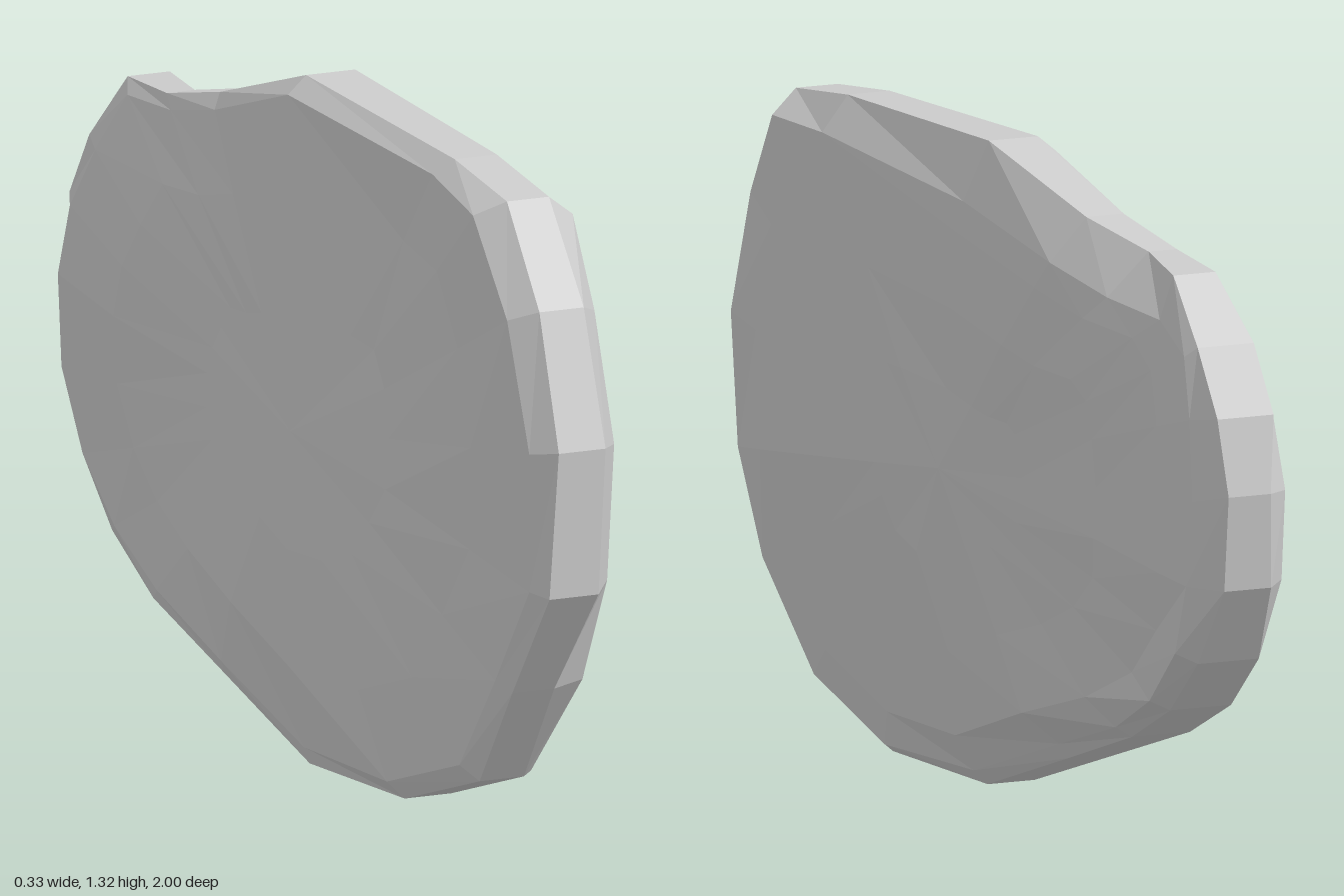
import * as THREE from 'three';

// Rows run from the front over the top to the back and round below:
// rim z, rim y, rim x on the -x side, rim x on the +x side, then z, y, x on the edge of the +x face
const OUTLINE = [
  [1, 0.82, 0, 0.1, 0.9, 0.8, 0.165],
  [0.9, 1.08, 0.005, 0.1, 0.82, 1.05, 0.16],
  [0.74, 1.265, 0.01, 0.1, 0.72, 1.22, 0.16],
  [0.5, 1.295, 0.01, 0.1, 0.5, 1.225, 0.155],
  [-0.14, 1.32, -0.01, 0.095, -0.12, 1.2, 0.14],
  [-0.45, 1.22, -0.05, 0.03, -0.42, 1.13, 0.095],
  [-0.63, 1.18, -0.08, -0.02, -0.6, 1.09, 0.055],
  [-0.82, 1.17, -0.075, 0.015, -0.8, 1.08, 0.035],
  [-0.9, 1.04, -0.12, 0, -0.88, 1.02, 0.02],
  [-0.97, 0.91, -0.13, -0.01, -0.905, 0.9, 0.02],
  [-1, 0.76, -0.11, -0.02, -0.92, 0.74, 0.02],
  [-0.98, 0.57, -0.12, -0.02, -0.9, 0.57, 0.025],
  [-0.88, 0.41, -0.14, -0.01, -0.86, 0.43, 0.03],
  [-0.73, 0.29, -0.15, -0.02, -0.72, 0.31, 0.02],
  [-0.53, 0.2, -0.155, -0.03, -0.52, 0.22, 0],
  [-0.26, 0.11, -0.13, -0.02, -0.26, 0.14, 0],
  [0.07, 0, -0.1, 0, 0.07, 0.03, 0.03],
  [0.42, 0.005, -0.06, 0.04, 0.42, 0.02, 0.058],
  [0.7, 0.1, -0.03, 0.065, 0.7, 0.11, 0.08],
  [0.85, 0.31, -0.03, 0.06, 0.84, 0.32, 0.125],
  [1, 0.53, -0.02, 0.085, 0.9, 0.53, 0.15],
];
const CENTRE_Y = 0.65;
const { clamp, lerp } = THREE.MathUtils;

// Face positions along the length as [z, x]
const PLUS_FACE = [[-1, 0.01], [-0.8, 0.04], [-0.6, 0.06], [-0.4, 0.1], [-0.1, 0.145], [0.3, 0.15], [0.9, 0.165]];
const MINUS_FACE = [[-0.9, -0.165], [-0.3, -0.158], [0, -0.145], [0.3, -0.1], [0.65, -0.058], [0.9, -0.04]];

function sample(table, z) {
  if (z <= table[0][0]) return table[0][1];
  for (let i = 1; i < table.length; i++) {
    const [z0, x0] = table[i - 1], [z1, x1] = table[i];
    if (z <= z1) return lerp(x0, x1, (z - z0) / (z1 - z0));
  }
  return table[table.length - 1][1];
}

// The +x face tucks in below and has a shallow hollow behind the middle
function plusX(z, y) {
  const hollow = Math.max(0, 1 - ((z + 0.3) / 0.35) ** 2) * Math.max(0, 1 - ((y - 0.6) / 0.35) ** 2);
  return sample(PLUS_FACE, z) - 0.09 * Math.max(0, (0.6 - y) / 0.6) - 0.03 * hollow;
}

// The -x face leans in towards the top, curves over at the back and tucks in along the keel
function minusX(z, y) {
  const lean = 0.1 * Math.max(0, y - 0.3) * clamp(1.5 - 2 * z, 0, 1);
  const curve = 0.35 * Math.max(0, y - 0.7) ** 2;
  const below = 0.22 * Math.max(0, 0.2 - y) * clamp(0.8 - 2 * z, 0, 1);
  return sample(MINUS_FACE, z) + lerp(curve, lean, clamp((z + 0.7) / 0.4, 0, 1)) + below;
}

// Each face is a set of shrinking rings; the rim and +x edge come straight from the outline
const faceRing = (column, scale, depth) => OUTLINE.map((row) => {
  const z = row[column] * scale;
  const y = CENTRE_Y + (row[column + 1] - CENTRE_Y) * scale;
  return [depth(z, y), y, z];
});

function stoneGeometry() {
  const rings = [
    ...[0, 0.35, 0.7, 0.95].map((s) => faceRing(0, s, minusX)),
    OUTLINE.map(([z, y, x]) => [x, y, z]),
    OUTLINE.map(([z, y, , x]) => [x, y, z]),
    OUTLINE.map(([, , , , z, y, x]) => [x, y, z]),
    ...[0.88, 0.6, 0.3, 0].map((s) => faceRing(4, s, plusX)),
  ];
  const n = OUTLINE.length, last = rings.length - 2;
  const index = [];
  for (let r = 0; r <= last; r++) {
    for (let i = 0; i < n; i++) {
      const j = (i + 1) % n;
      const a = r * n + i, b = r * n + j, c = a + n, d = b + n;
      // The end rings are single points, so each needs one triangle only
      if (r < last) index.push(a, c, d);
      else index.push(a, c, b);
      if (r > 0 && r < last) index.push(a, d, b);
    }
  }
  const geometry = new THREE.BufferGeometry();
  geometry.setAttribute('position', new THREE.Float32BufferAttribute(rings.flat(2), 3));
  geometry.setIndex(index);
  geometry.computeVertexNormals();
  return geometry;
}

export function createModel() {
  const group = new THREE.Group();
  group.name = 'flatStone';
  const material = new THREE.MeshStandardMaterial({ color: 0xcccccc, flatShading: true });
  const stone = new THREE.Mesh(stoneGeometry(), material);
  stone.name = 'stoneSlab';
  group.add(stone);
  return group;
}
